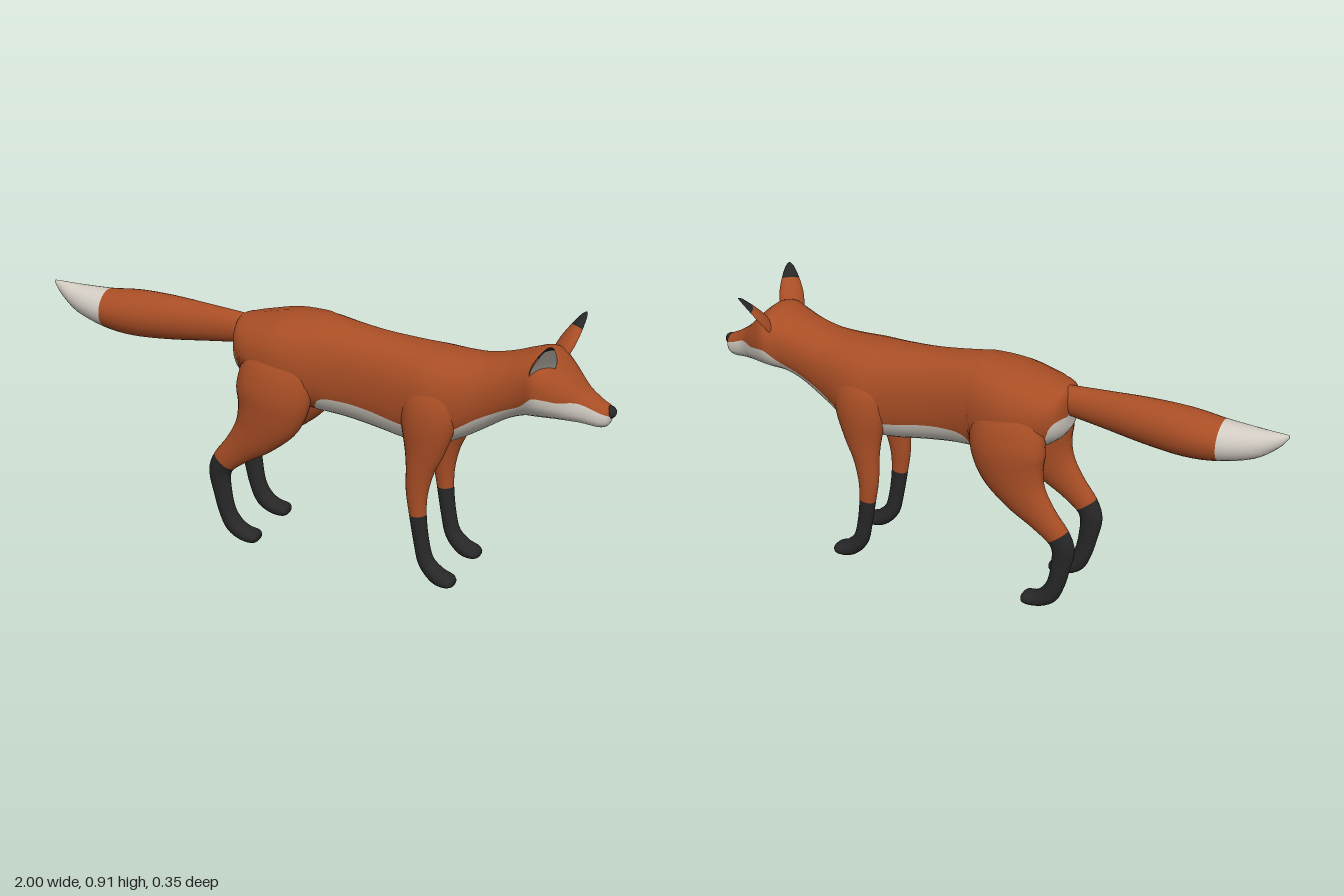
import * as THREE from 'three';

const material = (name, color) => Object.assign(new THREE.MeshStandardMaterial({ color }), { name });
const russet = material('russet fur', 0xa94e25);
const cream = material('cream fur', 0xd2ccc2);
const black = material('black fur', 0x272727);
const palette = [russet, cream, black];
const RUSSET = 0, CREAM = 1, BLACK = 2;

// Smooth interpolation between rows of numbers
function smoothRows(rows, steps) {
  const out = [], n = rows.length - 1;
  for (let k = 0; k <= n * steps; k++) {
    const i = Math.min(Math.floor(k / steps), n - 1), t = k / steps - i;
    const p = rows[Math.max(i - 1, 0)], a = rows[i], b = rows[i + 1], q = rows[Math.min(i + 2, n)];
    out.push(a.map((v, c) => {
      const m0 = (b[c] - p[c]) / 2, m1 = (q[c] - v) / 2, d = b[c] - v;
      return v + t * (m0 + t * (3 * d - 2 * m0 - m1 + t * (m0 + m1 - 2 * d)));
    }));
  }
  return out;
}

// Skin over oval rings. Row: x, y, z, half height, half width, split angle.
// pick(section, lower) chooses the colour of the lower and upper part of each ring.
function loft(name, rows, pick, { steps = 4, power = 2, upright = false, under = 1 } = {}) {
  const low = 6, high = 8, half = low + high, ring = half * 2;
  const rings = smoothRows(rows, steps), last = rings.length - 1;
  const positions = [], faces = [[], [], []];
  const bend = v => Math.sign(v) * Math.abs(v) ** (2 / power);
  rings.forEach(([x, y, z, a, b, split], i) => {
    const p = rings[Math.max(i - 1, 0)], q = rings[Math.min(i + 1, last)];
    const tilt = upright ? 0 : Math.atan2(q[1] - p[1], q[0] - p[0]);
    for (let j = 0; j < ring; j++) {
      const m = j <= half ? j : ring - j;
      const f = m <= low ? split * m / low : split + (Math.PI - split) * (m - low) / high;
      let h = -bend(Math.cos(f)) * a;
      if (h < 0) h *= under;
      const w = bend(Math.sin(f)) * b * (j <= half ? 1 : -1);
      positions.push(x - Math.sin(tilt) * h, y + Math.cos(tilt) * h, z + w);
    }
  });
  const isLow = j => j < low || j >= ring - low;
  for (let i = 0; i < last; i++) for (let j = 0; j < ring; j++) {
    const A = i * ring + j, C = i * ring + (j + 1) % ring, B = A + ring, D = C + ring;
    faces[pick((i + 0.5) / steps, isLow(j))].push(A, B, C, B, D, C);
  }
  // End caps
  for (const i of [0, last]) {
    const centre = positions.length / 3;
    positions.push(...rings[i].slice(0, 3));
    for (let j = 0; j < ring; j++) {
      const A = i * ring + j, C = i * ring + (j + 1) % ring;
      faces[pick(i / steps, isLow(j))].push(centre, ...(i ? [C, A] : [A, C]));
    }
  }
  const g = new THREE.BufferGeometry();
  g.setAttribute('position', new THREE.Float32BufferAttribute(positions, 3));
  g.setIndex(faces.flat());
  let start = 0;
  faces.forEach((f, m) => {
    if (f.length) g.addGroup(start, f.length, m);
    start += f.length;
  });
  g.computeVertexNormals();
  const mesh = new THREE.Mesh(g, palette);
  mesh.name = name;
  return mesh;
}

// Row from a side profile: x, top, bottom, half width, height of the pale border
function profileRow([x, top, bottom, width, border], power) {
  const y = (top + bottom) / 2, a = (top - bottom) / 2;
  const c = THREE.MathUtils.clamp((y - border) / a, -0.9, 0.995);
  return [x, y, 0, a, width, Math.acos(Math.sign(c) * Math.abs(c) ** (power / 2))];
}

export function createModel() {
  const model = new THREE.Group();
  model.name = 'fox';

  // Body, neck and head
  const body = [
    [-0.288, 0.75, 0.63, 0.04, 0.68],
    [-0.275, 0.768, 0.605, 0.08, 0.68],
    [-0.25, 0.775, 0.58, 0.108, 0.65],
    [-0.2, 0.788, 0.55, 0.13, 0.55],
    [-0.1, 0.811, 0.52, 0.148, 0.52],
    [0, 0.817, 0.5, 0.135, 0.5],
    [0.04, 0.814, 0.495, 0.125, 0.56],
    [0.12, 0.803, 0.488, 0.113, 0.572],
    [0.22, 0.791, 0.473, 0.111, 0.56],
    [0.33, 0.784, 0.456, 0.122, 0.54],
    [0.42, 0.78, 0.458, 0.136, 0.54],
    [0.5, 0.778, 0.488, 0.126, 0.55],
    [0.58, 0.783, 0.537, 0.108, 0.6],
    [0.66, 0.803, 0.59, 0.104, 0.642],
    [0.72, 0.825, 0.616, 0.112, 0.672],
    [0.765, 0.836, 0.624, 0.128, 0.715],
    [0.8, 0.828, 0.626, 0.122, 0.717],
    [0.85, 0.782, 0.625, 0.094, 0.706],
    [0.9, 0.732, 0.62, 0.06, 0.698],
    [0.95, 0.698, 0.614, 0.042, 0.674],
    [0.975, 0.686, 0.622, 0.032, 0.665],
    [0.985, 0.675, 0.64, 0.017, 0.66],
  ].map(r => profileRow(r, 2.3));
  model.add(loft('body and head', body,
    (s, lower) => lower && (s < 2.8 || s > 5) ? CREAM : RUSSET, { upright: true, power: 2.3 }));

  // Nose
  const nose = new THREE.Mesh(new THREE.SphereGeometry(1, 20, 14), black);
  nose.name = 'nose';
  nose.scale.set(0.022, 0.02, 0.022);
  nose.position.set(0.977, 0.666, 0);
  model.add(nose);

  // Tail with pale tip
  const tail = [
    [-1, 0.764, 0.754, 0.004], [-0.97, 0.764, 0.715, 0.019], [-0.9, 0.763, 0.665, 0.046],
    [-0.79, 0.766, 0.633, 0.07], [-0.68, 0.779, 0.622, 0.076], [-0.55, 0.782, 0.631, 0.066],
    [-0.4, 0.776, 0.651, 0.047], [-0.28, 0.769, 0.668, 0.038], [-0.22, 0.765, 0.68, 0.035],
  ].map(r => profileRow([...r, 0.7], 2));
  model.add(loft('tail', tail, s => s < 3 ? CREAM : RUSSET, { upright: true }));

  // Legs: x, y, z, half depth, half width
  const hind = [
    [-0.09, 0.73, 0.07, 0.07, 0.03], [-0.1, 0.66, 0.09, 0.12, 0.062], [-0.112, 0.57, 0.107, 0.132, 0.067],
    [-0.13, 0.49, 0.11, 0.118, 0.06], [-0.175, 0.41, 0.114, 0.083, 0.046],
    [-0.24, 0.34, 0.115, 0.055, 0.034], [-0.295, 0.283, 0.114, 0.043, 0.029],
    [-0.314, 0.235, 0.112, 0.039, 0.027], [-0.306, 0.17, 0.112, 0.033, 0.025],
    [-0.29, 0.1, 0.111, 0.03, 0.026], [-0.264, 0.052, 0.11, 0.032, 0.029],
    [-0.225, 0.028, 0.11, 0.026, 0.034], [-0.185, 0.023, 0.11, 0.021, 0.034], [-0.172, 0.022, 0.11, 0.01, 0.02],
  ];
  const front = [
    [0.43, 0.71, 0.075, 0.06, 0.03], [0.43, 0.64, 0.09, 0.09, 0.052], [0.424, 0.56, 0.1, 0.09, 0.053],
    [0.416, 0.47, 0.105, 0.068, 0.042], [0.405, 0.4, 0.109, 0.048, 0.034],
    [0.397, 0.32, 0.112, 0.037, 0.028], [0.402, 0.24, 0.113, 0.029, 0.024],
    [0.417, 0.14, 0.112, 0.026, 0.023], [0.435, 0.075, 0.111, 0.027, 0.027],
    [0.475, 0.034, 0.11, 0.028, 0.034], [0.515, 0.023, 0.11, 0.021, 0.035], [0.532, 0.021, 0.11, 0.01, 0.02],
  ];
  for (const [side, sign] of [['left', -1], ['right', 1]]) {
    const leg = (name, rows) => model.add(loft(`${side} ${name}`,
      rows.map(([x, y, z, a, b]) => [x, y, z * sign, a, b, Math.PI / 2]),
      s => s > 6 ? BLACK : RUSSET));
    leg('hind leg', hind);
    leg('front leg', front);

    // Cupped ear with pale inside and black tip
    const ear = loft(`${side} ear`, [
      [0, -0.03, 0, 0.026, 0.04, Math.PI / 2], [0, 0.02, 0, 0.026, 0.042, Math.PI / 2],
      [0, 0.06, 0, 0.021, 0.036, Math.PI / 2], [0, 0.1, 0, 0.014, 0.024, Math.PI / 2],
      [0, 0.125, 0, 0.008, 0.013, Math.PI / 2], [0, 0.136, 0, 0.002, 0.003, Math.PI / 2],
    ], (s, lower) => lower && s < 3.5 ? CREAM : s > 2.5 ? BLACK : RUSSET, { upright: false, under: -0.25 });
    const up = new THREE.Vector3(0.045, 0.11, 0.068 * sign).normalize();
    const open = new THREE.Vector3(0.62, -0.5, 0.6 * sign);
    open.addScaledVector(up, -open.dot(up)).normalize();
    const across = new THREE.Vector3().crossVectors(open, up);
    ear.quaternion.setFromRotationMatrix(new THREE.Matrix4().makeBasis(open, up, across));
    ear.position.set(0.79, 0.8, 0.094 * sign);
    model.add(ear);
  }
  return model;
}
